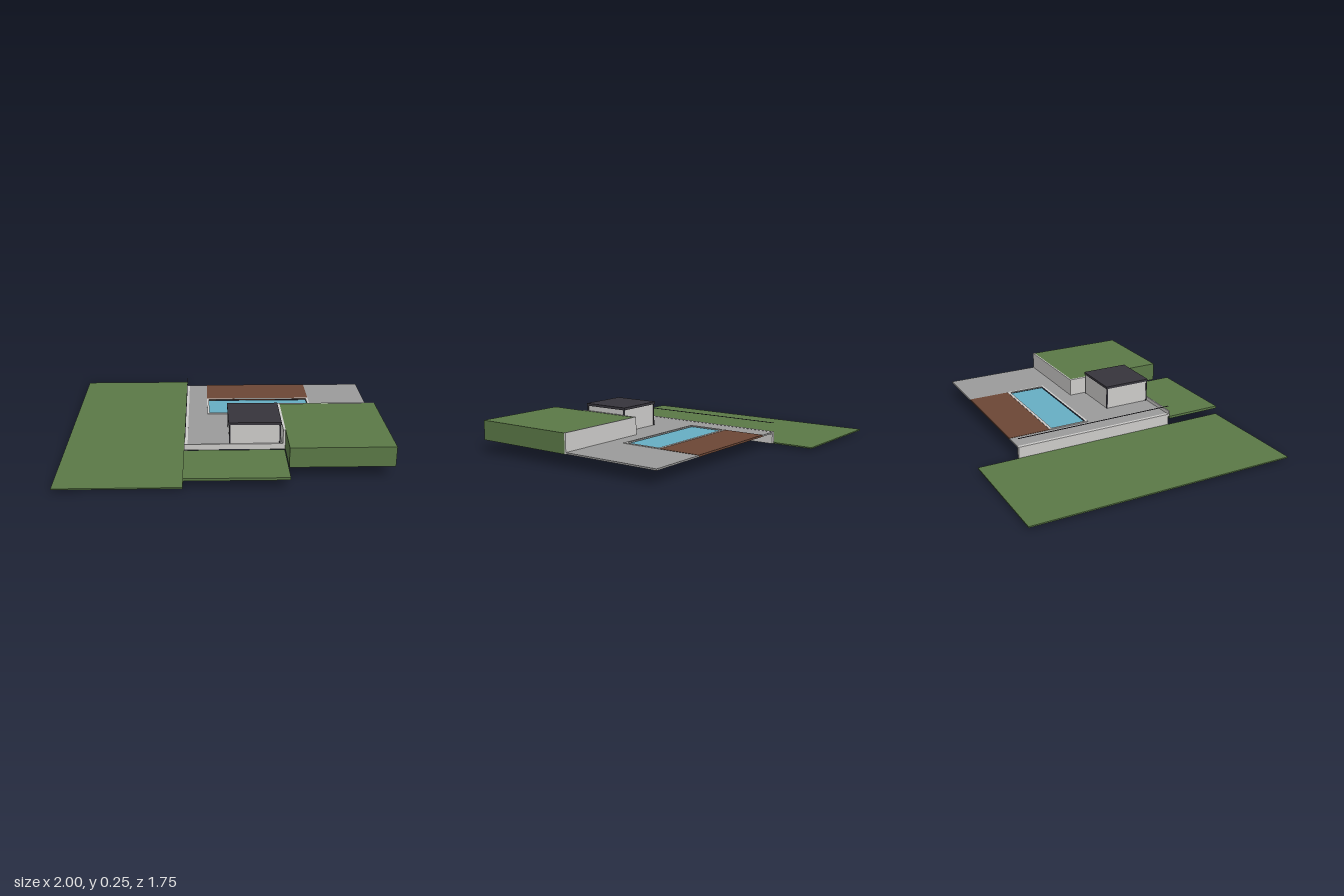
import * as THREE from 'three';

const paint = (name, color) => {
  const m = new THREE.MeshStandardMaterial({ color });
  m.name = name;
  return m;
};

export function createModel() {
  const grass = paint('grass green', 0x5a7846);
  const paving = paint('paving grey', 0x9a9a9a);
  const concrete = paint('pale concrete', 0xcbcac8);
  const timber = paint('timber brown', 0x6b4635);
  const dark = paint('dark metal', 0x36343b);
  const water = paint('water blue', 0x66adc2);
  const poolBase = paint('pale blue grey', 0xb4c6ce);

  const group = new THREE.Group();
  group.name = 'terracedGarden';

  // Box given by its limits on each axis
  const block = (name, mat, [x0, x1], [y0, y1], [z0, z1]) => {
    const mesh = new THREE.Mesh(new THREE.BoxGeometry(x1 - x0, y1 - y0, z1 - z0), mat);
    mesh.position.set((x0 + x1) / 2, (y0 + y1) / 2, (z0 + z1) / 2);
    mesh.name = name;
    group.add(mesh);
  };

  // Flat slab from a plan outline in x and z, with an optional hole
  const slab = (name, mat, outline, hole, y0, y1) => {
    const points = (list) => list.map(([x, z]) => new THREE.Vector2(x, -z));
    const shape = new THREE.Shape(points(outline));
    if (hole) shape.holes.push(new THREE.Path(points(hole)));
    const geo = new THREE.ExtrudeGeometry(shape, { depth: y1 - y0, bevelEnabled: false });
    geo.rotateX(-Math.PI / 2).translate(0, y0, 0);
    const mesh = new THREE.Mesh(geo, mat);
    mesh.name = name;
    group.add(mesh);
  };
  const rect = (x0, x1, z0, z1) => [[x0, z0], [x1, z0], [x1, z1], [x0, z1]];

  // Lawns on three levels
  block('lowerLawn', grass, [-1, -0.248], [0.012, 0.02], [-0.875, 0.872]);
  block('frontLawn', grass, [-0.248, 0.372], [0.06, 0.076], [0.492, 0.872]);
  block('upperLawn', grass, [0.374, 1], [0.08, 0.205], [0.062, 0.75]);

  // Paved terrace, cut out around the deck and the pool
  slab('terrace', paving, [
    [-0.225, -0.605], [-0.1, -0.605], [-0.1, -0.05], [0.61, -0.05], [0.61, -0.605],
    [1, -0.605], [1, 0.052], [0.36, 0.052], [0.36, 0.482], [-0.225, 0.482],
  ], null, 0.082, 0.092);
  block('deck', timber, [-0.1, 0.61], [0.082, 0.094], [-0.605, -0.327]);

  // Pool
  slab('poolCoping', concrete, rect(-0.1, 0.61, -0.327, -0.05),
    rect(-0.086, 0.594, -0.308, -0.066), 0.082, 0.096);
  block('poolWater', water, [-0.086, 0.594], [0.005, 0.088], [-0.308, -0.066]);
  block('poolFloor', poolBase, [-0.086, 0.594], [0, 0.005], [-0.308, -0.066]);

  // Retaining walls
  block('sideWall', concrete, [-0.246, -0.225], [0.015, 0.093], [-0.605, 0.482]);
  block('frontWall', concrete, [-0.246, 0.36], [0.078, 0.115], [0.482, 0.492]);
  block('upperSideWall', concrete, [0.36, 0.374], [0.08, 0.207], [0.052, 0.492]);
  block('upperBackWall', concrete, [0.374, 1], [0.08, 0.207], [0.052, 0.062]);

  // Thin rail above the side wall
  block('rail', dark, [-0.242, -0.238], [0.148, 0.152], [-0.605, 0.482]);

  // Garden house with corner posts and a flat roof
  block('houseWalls', concrete, [0.034, 0.342], [0.092, 0.236], [0.166, 0.476]);
  for (const x of [0.031, 0.338]) {
    for (const z of [0.163, 0.472]) {
      block('cornerPost', dark, [x, x + 0.008], [0.092, 0.236], [z, z + 0.008]);
    }
  }
  block('houseRoof', dark, [0.026, 0.35], [0.236, 0.252], [0.158, 0.481]);

  return group;
}
